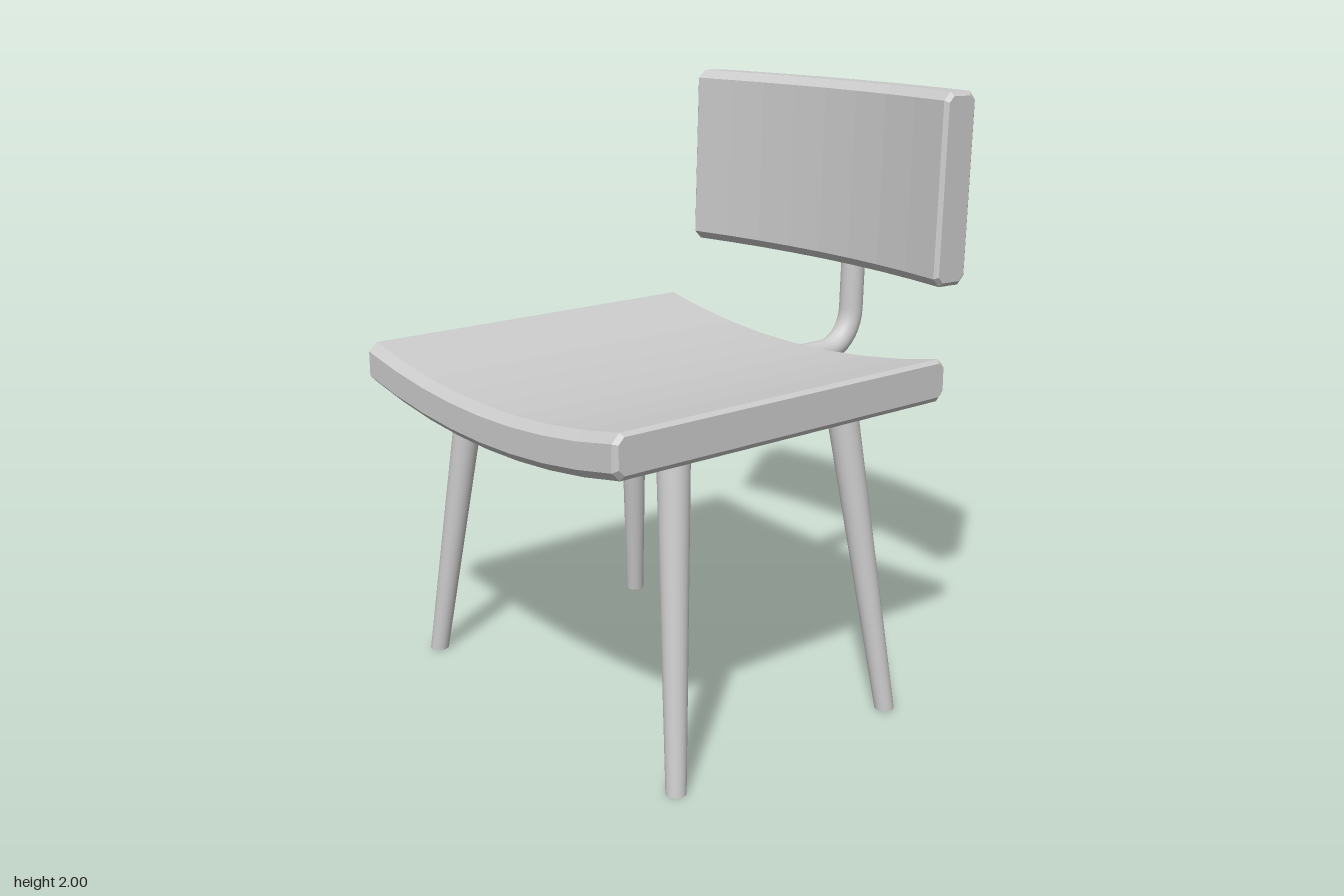
import * as THREE from 'three';

const material = new THREE.MeshStandardMaterial({ color: 0xcccccc });
const panelMaterial = new THREE.MeshStandardMaterial({ color: 0xcccccc, flatShading: true });

function addMesh(parent, name, geometry, mat = material) {
  const mesh = new THREE.Mesh(geometry, mat);
  mesh.name = name;
  parent.add(mesh);
  return mesh;
}

// Chamfered slab, width along x, depth along z, its ends curving up towards +y
function curvedPanel(width, depth, thickness, sag) {
  const a = depth / 2, b = thickness / 2, c = 0.028, bevel = 0.014;
  const section = new THREE.Shape([
    [-a + c, -b], [a - c, -b], [a, -b + c], [a, b - c],
    [a - c, b], [-a + c, b], [-a, b - c], [-a, -b + c],
  ].map(([x, y]) => new THREE.Vector2(x, y)));
  const length = width - 2 * bevel;
  const geometry = new THREE.ExtrudeGeometry(section, {
    depth: length, steps: 8, bevelEnabled: true, bevelSegments: 1,
    bevelThickness: bevel, bevelSize: bevel, bevelOffset: -bevel,
  });
  geometry.translate(0, 0, -length / 2).rotateY(Math.PI / 2);
  const p = geometry.attributes.position;
  for (let i = 0; i < p.count; i++) {
    p.setY(i, p.getY(i) + sag * (p.getX(i) / (width / 2)) ** 2);
  }
  geometry.computeVertexNormals();
  return geometry;
}

// Tapered leg, sheared so that its foot stays flat on the floor
function legGeometry(foot, top) {
  const height = top.y - foot.y;
  const geometry = new THREE.CylinderGeometry(0.052, 0.032, height, 24);
  geometry.translate(0, height / 2, 0);
  geometry.applyMatrix4(new THREE.Matrix4().set(
    1, (top.x - foot.x) / height, 0, foot.x,
    0, 1, 0, foot.y,
    0, (top.z - foot.z) / height, 1, foot.z,
    0, 0, 0, 1));
  return geometry;
}

export function createModel() {
  const chair = new THREE.Group();
  chair.name = 'chair';

  // Seat
  const seat = addMesh(chair, 'seat', curvedPanel(1.38, 1.335, 0.14, 0.075), panelMaterial);
  seat.position.set(0, 1.02, 0.158);

  // Backrest: the same kind of panel stood upright and leaning back a little
  const backrest = addMesh(chair, 'backrest', curvedPanel(1.23, 0.625, 0.145, 0.07), panelMaterial);
  backrest.rotation.x = Math.PI / 2 - 0.03;
  backrest.position.set(0, 1.685, -0.677);

  // Bent tube joining seat and backrest
  const v = (y, z) => new THREE.Vector3(0, y, z);
  const radius = 0.043, end = v(1.825, -0.784);
  const path = new THREE.CurvePath();
  path.add(new THREE.LineCurve3(v(1.033, -0.42), v(1.033, -0.62)));
  path.add(new THREE.CubicBezierCurve3(
    v(1.033, -0.62), v(1.033, -0.70), v(1.095, -0.761), v(1.18, -0.764)));
  path.add(new THREE.LineCurve3(v(1.18, -0.764), end));
  const support = new THREE.Group();
  support.name = 'backSupport';
  chair.add(support);
  addMesh(support, 'supportTube', new THREE.TubeGeometry(path, 48, radius, 20));
  const cap = addMesh(support, 'supportCap', new THREE.CircleGeometry(radius, 20));
  cap.rotation.x = -Math.PI / 2 - 0.03;
  cap.position.copy(end);

  // Four splayed legs
  for (const [side, s] of [['Left', 1], ['Right', -1]]) {
    for (const [row, footZ, topZ] of [['front', 0.604, 0.502], ['back', -0.286, -0.182]]) {
      addMesh(chair, `${row}${side}Leg`, legGeometry(
        new THREE.Vector3(s * 0.678, 0, footZ),
        new THREE.Vector3(s * 0.543, 1.04, topZ)));
    }
  }
  return chair;
}
